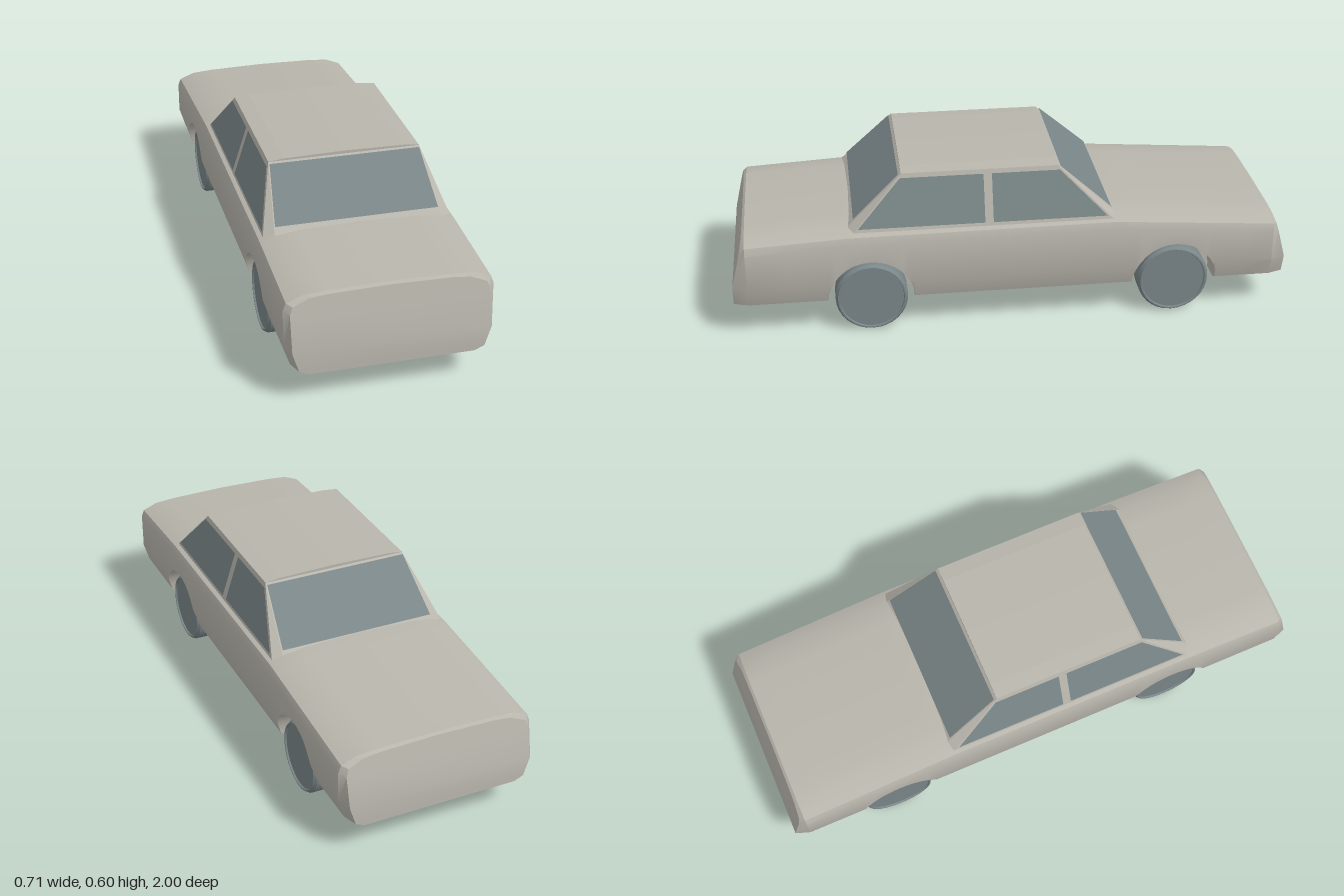
import * as THREE from 'three';
import { toCreasedNormals } from 'three/addons/utils/BufferGeometryUtils.js';

const WHEEL_Z = [0.51, -0.59], WHEEL_Y = 0.13, ARCH_R = 0.155, FLOOR = 0.115;

// piecewise linear lookup, keys rising
function lerpTable(t, k) {
  if (k <= t[0][0]) return t[0][1];
  for (let i = 1; i < t.length; i++) {
    if (k <= t[i][0]) {
      const f = (k - t[i - 1][0]) / (t[i][0] - t[i - 1][0]);
      return t[i - 1][1] + f * (t[i][1] - t[i - 1][1]);
    }
  }
  return t[t.length - 1][1];
}
const topLine = (z) => lerpTable([[-0.95, 0.372], [-0.37, 0.416], [0.58, 0.412], [0.95, 0.393]], z);
const sideX = (y) => lerpTable([[0.115, 0.3], [0.13, 0.333], [0.2, 0.355]], y);

function archLine(z) {
  for (const c of WHEEL_Z) {
    const d = Math.abs(z - c);
    if (d < ARCH_R) return WHEEL_Y + Math.sqrt(ARCH_R ** 2 - d * d);
  }
  return FLOOR;
}

// quads and triangles from corner lists, counter-clockwise from outside
function facesGeometry(faces, crease) {
  const pos = [];
  const a = new THREE.Vector3(), b = new THREE.Vector3(), c = new THREE.Vector3();
  for (const f of faces) {
    for (let i = 1; i < f.length - 1; i++) {
      const tri = [f[0], f[i], f[i + 1]];
      a.fromArray(tri[0]);
      b.fromArray(tri[1]).sub(a);
      c.fromArray(tri[2]).sub(a);
      if (b.cross(c).length() > 1e-9) pos.push(...tri.flat());
    }
  }
  const g = new THREE.BufferGeometry();
  g.setAttribute('position', new THREE.Float32BufferAttribute(pos, 3));
  g.computeVertexNormals();
  return crease ? toCreasedNormals(g, crease) : g;
}

const mirrorX = (f) => f.map(([x, y, z]) => [-x, y, z]).reverse();

// closed section of the body: floor, wheel well, flank, shoulder, top
function bodyRing(z, end) {
  const arch = archLine(z), t = topLine(z);
  const flank = [FLOOR, 0.13, 0.2].map((y) => {
    const yy = Math.max(y, arch);
    return [sideX(yy), yy];
  });
  let half = [[0, FLOOR], [0.225, FLOOR], [0.225, arch], ...flank,
    [0.355, t - 0.058], [0.345, t - 0.032], [0.29, t - 0.01], [0.21, t - 0.004], [0, t]];
  half = half.map(([x, y]) => {
    if (!end) return [x, y, z];
    // nose and tail: tucked in, leaning back above the bumper line
    const yy = y > 0.3 ? y - 0.008 : y;
    const lean = Math.max(0, yy - 0.2) / (t - 0.208) * 0.043;
    return [x > 0.23 ? x - 0.018 : x, yy, end * (1 - lean)];
  });
  return [...half, ...half.slice(1, -1).reverse().map(([x, y, zz]) => [-x, y, zz])];
}

function bodyGeometry() {
  const zs = [0.948, 0.8, 0.58, 0.2, -0.1, -0.37, -0.85, -0.948];
  for (const c of WHEEL_Z) {
    zs.push(c + ARCH_R * 1.0005, c - ARCH_R * 1.0005);
    for (let i = 0; i <= 16; i++) zs.push(c + ARCH_R * 0.9999 * Math.cos(i * Math.PI / 16));
  }
  zs.sort((p, q) => q - p);
  const rings = [bodyRing(0.95, 1), ...zs.map((z) => bodyRing(z, 0)), bodyRing(-0.95, -1)];
  const n = rings[0].length, top = n / 2, faces = [];
  for (let s = 0; s < rings.length - 1; s++) {
    for (let i = 0; i < n; i++) {
      const j = (i + 1) % n;
      faces.push([rings[s][i], rings[s + 1][i], rings[s + 1][j], rings[s][j]]);
    }
  }
  const F = rings[0], B = rings[rings.length - 1];
  for (let i = 0; i < top; i++) {
    const l = (n - i) % n, m = n - i - 1;
    faces.push([F[i], F[i + 1], F[m], F[l]]);
    faces.push([B[l], B[m], B[i + 1], B[i]]);
  }
  return facesGeometry(faces, 0.45);
}

export function createModel() {
  const car = new THREE.Group();
  car.name = 'sedan';
  const paint = new THREE.MeshStandardMaterial({ color: 0xb8b5ac });
  paint.name = 'body paint';
  const slate = new THREE.MeshStandardMaterial({ color: 0x7a8688 });
  slate.name = 'slate glass and wheels';
  const add = (geo, mat, name, parent = car) => {
    const m = new THREE.Mesh(geo, mat);
    m.name = name;
    parent.add(m);
    return m;
  };

  add(bodyGeometry(), paint, 'body');

  // cabin shell: sloped screens, side walls and slim corner pillars
  const screen = (zb, zt, yb, v0, v1, inset, out) => {
    const at = (s, v) => {
      const x = 0.295 + (0.27 - 0.295) * v - inset;
      return [s * x, yb + (0.585 - yb) * v + out, zb + (zt - zb) * v + Math.sign(zb) * out];
    };
    const f = [at(-1, v0), at(1, v0), at(1, v1), at(-1, v1)];
    return zb > 0 ? f : f.reverse();
  };
  const sidePoint = (z, v, out = 0) => [0.332 - 0.062 * v + out, 0.392 + 0.193 * v + out * 0.3, z];
  const side = [sidePoint(0.565, 0), sidePoint(-0.36, 0), sidePoint(-0.165, 1), sidePoint(0.39, 1)];
  const pillarFront = [[0.295, 0.4, 0.585], side[0], side[3]];
  const pillarRear = [side[1], [0.295, 0.4, -0.375], side[2]];
  const shell = [side, pillarFront, pillarRear];
  add(facesGeometry([
    ...shell, ...shell.map(mirrorX),
    screen(0.585, 0.39, 0.4, 0, 1, 0, 0),
    screen(-0.375, -0.165, 0.4, 0, 1, 0, 0),
  ]), paint, 'cabin');

  // crowned roof panel
  const roof = new THREE.Shape([[-0.272, 0.575], [0.272, 0.575], [0.27, 0.585], [0.215, 0.591],
    [0, 0.595], [-0.215, 0.591], [-0.27, 0.585]].map(([x, y]) => new THREE.Vector2(x, y)));
  const roofGeo = new THREE.ExtrudeGeometry(roof, { depth: 0.557, bevelEnabled: false });
  add(roofGeo.translate(0, 0, -0.166), paint, 'roof');

  // glass
  add(facesGeometry([screen(0.585, 0.39, 0.4, 0.12, 0.96, 0.003, 0.003)]), slate, 'windshield');
  add(facesGeometry([screen(-0.375, -0.165, 0.4, 0.09, 0.96, 0.003, 0.003)]), slate, 'rearWindow');
  const pane = (corners) => corners.map(([z, v]) => sidePoint(z, v, 0.003));
  const frontPane = pane([[0.55, 0.06], [0.1, 0.06], [0.1, 0.92], [0.395, 0.92]]);
  const rearPane = pane([[0.07, 0.06], [-0.34, 0.06], [-0.173, 0.92], [0.07, 0.92]]);
  for (const [name, f] of [['frontSideWindow', frontPane], ['rearSideWindow', rearPane]]) {
    add(facesGeometry([f]), slate, name + 'Left');
    add(facesGeometry([mirrorX(f)]), slate, name + 'Right');
  }

  // wheels: lathe profile from inner hub around the tread to the outer disc
  const profile = [[0, -0.015], [0.1, -0.015], [0.106, -0.045], [0.12, -0.045], [0.13, -0.035],
    [0.13, 0.033], [0.122, 0.045], [0.117, 0.045], [0.115, 0.039], [0, 0.039]];
  const wheelGeo = toCreasedNormals(
    new THREE.LatheGeometry(profile.map(([r, y]) => new THREE.Vector2(r, y)), 32), 0.5);
  const hubGeo = new THREE.CylinderGeometry(0.035, 0.035, 0.06, 16);
  for (const z of WHEEL_Z) {
    for (const s of [1, -1]) {
      const wheel = new THREE.Group();
      wheel.name = (z > 0 ? 'front' : 'rear') + 'Wheel' + (s > 0 ? 'Left' : 'Right');
      add(wheelGeo, slate, 'tyre', wheel);
      add(hubGeo, slate, 'axleStub', wheel).position.y = -0.035;
      wheel.rotation.z = -s * Math.PI / 2;
      wheel.position.set(s * 0.29, WHEEL_Y, z);
      car.add(wheel);
    }
  }
  return car;
}
